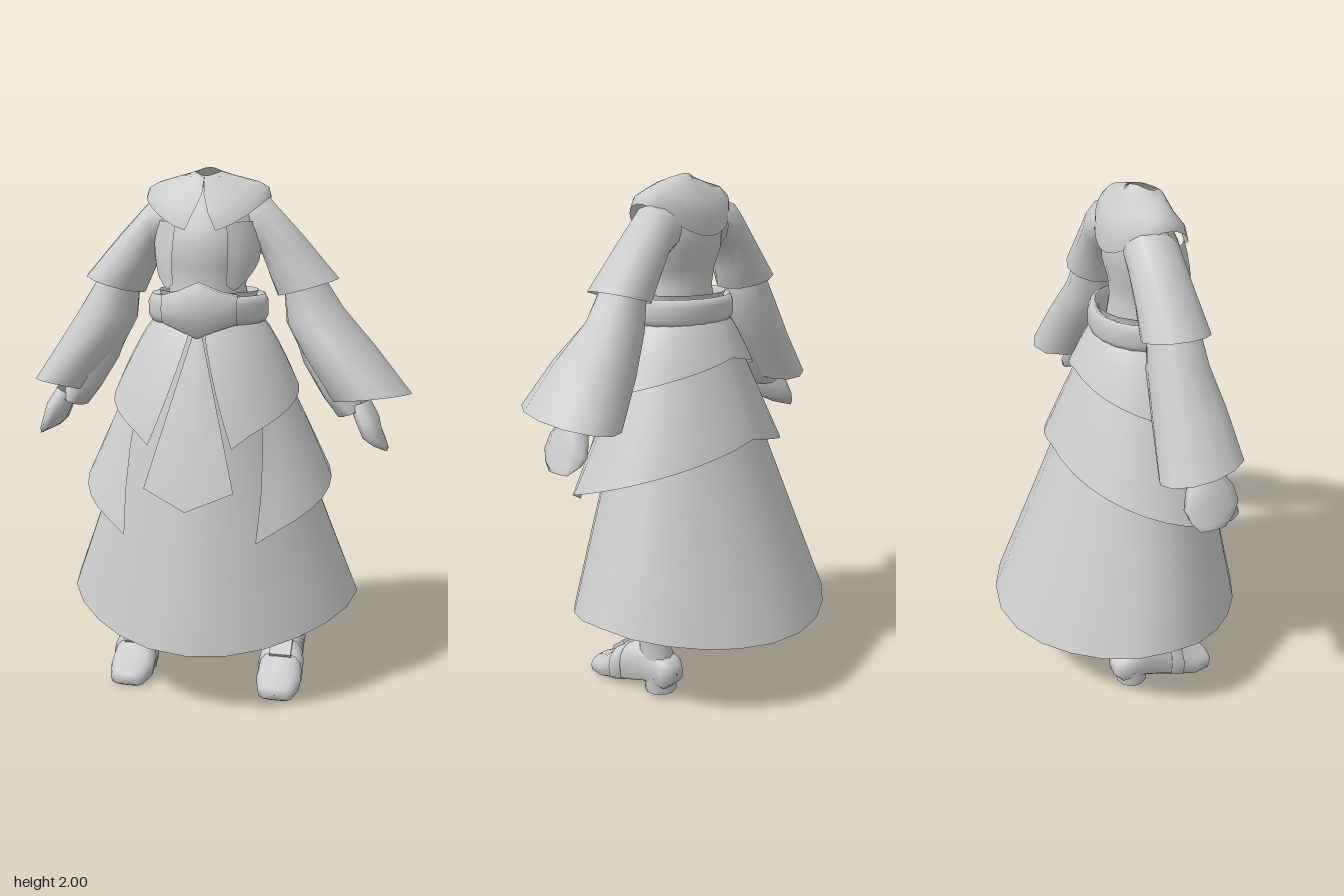
import * as THREE from 'three';
import { mergeVertices } from 'three/addons/utils/BufferGeometryUtils.js';

const MAT = new THREE.MeshStandardMaterial({ color: 0xcccccc, side: THREE.DoubleSide });
const DEG = Math.PI / 180;
const lerp = (a, b, t) => a + (b - a) * t;

// Smooth grid surface from f(u, v) -> [x, y, z]
function sheet(name, nu, nv, f, flip = false) {
  const pos = [], idx = [];
  for (let j = 0; j <= nv; j++)
    for (let i = 0; i <= nu; i++) pos.push(...f(i / nu, j / nv));
  for (let j = 0; j < nv; j++)
    for (let i = 0; i < nu; i++) {
      const a = j * (nu + 1) + i, b = a + 1, c = a + nu + 1, d = c + 1;
      if (flip) idx.push(a, b, c, b, d, c);
      else idx.push(a, c, b, b, c, d);
    }
  let g = new THREE.BufferGeometry();
  g.setAttribute('position', new THREE.Float32BufferAttribute(pos, 3));
  g.setIndex(idx);
  g = mergeVertices(g, 1e-4);
  g.computeVertexNormals();
  const m = new THREE.Mesh(g, MAT);
  m.name = name;
  return m;
}

// Horizontal ellipses [y, rx, rz, cz] stacked from top to bottom
function stack(name, rings, n = 20) {
  return sheet(name, n, rings.length - 1, (u, v) => {
    const [y, rx, rz, cz] = rings[Math.round(v * (rings.length - 1))];
    const a = u * 2 * Math.PI;
    return [rx * Math.sin(a), y, cz + rz * Math.cos(a)];
  });
}

// Limb rings [outerX, outerY, innerX, innerY, rz, cz, front lift], mirrored by s
function limb(name, rings, s, n = 12) {
  return sheet(name, n, rings.length - 1, (u, v) => {
    const [ox, oy, ix, iy, rz, cz, lift = 0] = rings[Math.round(v * (rings.length - 1))];
    const a = u * 2 * Math.PI, k = (1 + Math.cos(a)) / 2;
    return [s * lerp(ix, ox, k), lerp(iy, oy, k) + lift * Math.sin(a), cz + rz * Math.sin(a)];
  }, s < 0);
}

// Open-fronted flared layer: top and hem ellipses, opening angles, hem height by angle
function flare(name, o) {
  return sheet(name, 28, 5, (u, v) => {
    const open = lerp(o.open[0], o.open[1], v);
    const a = lerp(open, 360 - open, u);
    const back = 1 - Math.abs(2 * u - 1);
    const r = (k) => lerp(o.top[k], o.hem[k], Math.pow(v, o.bulge));
    return [r(0) * Math.sin(a * DEG), lerp(o.topY, o.hemY(back), v), r(2) + r(1) * Math.cos(a * DEG)];
  });
}

// Foot sections along z: [z, half width, bottom, top], flattened underneath
function footLoft(name, sec) {
  return sheet(name, 14, sec.length - 1, (u, v) => {
    const [z, w, b, t] = sec[Math.round(v * (sec.length - 1))];
    const a = u * 2 * Math.PI, c = Math.cos(a), q = Math.sin(a);
    const h = Math.sign(q) * Math.pow(Math.abs(q), q < 0 ? 0.45 : 0.9);
    return [w * Math.sign(c) * Math.pow(Math.abs(c), 0.75), lerp(b, t, 0.5 + 0.5 * h), z];
  }, true);
}

function shoe(s) {
  const g = new THREE.Group();
  g.name = 'shoe';
  g.add(footLoft('foot', [[-0.131, 0.001, 0.1, 0.11], [-0.128, 0.04, 0.07, 0.14], [-0.1, 0.065, 0.045, 0.165],
    [0, 0.07, 0.045, 0.21], [0.07, 0.074, 0.025, 0.2], [0.15, 0.085, 0.01, 0.145], [0.21, 0.088, 0, 0.095],
    [0.28, 0.068, 0, 0.065], [0.296, 0.045, 0.01, 0.052], [0.297, 0.001, 0.03, 0.031]]));
  g.add(footLoft('strap', [[0.105, 0.077, 0.022, 0.165], [0.105, 0.085, 0.016, 0.186], [0.155, 0.091, 0.006, 0.152], [0.155, 0.084, 0.012, 0.13]]));
  const heel = new THREE.Mesh(new THREE.CylinderGeometry(0.068, 0.062, 0.07, 10), MAT);
  heel.name = 'heel';
  heel.position.set(0, 0.053, -0.045);
  const buckle = new THREE.Mesh(new THREE.BoxGeometry(0.085, 0.07, 0.02), MAT);
  buckle.name = 'shoeBuckle';
  buckle.rotation.x = -0.9;
  buckle.position.set(0, 0.157, 0.143);
  g.add(heel, buckle);
  // boot shaft with cuff, then the leg
  g.add(stack('leg', [[0.78, 0.095, 0.095, 0], [0.6, 0.095, 0.095, 0], [0.48, 0.077, 0.08, -0.01], [0.47, 0.09, 0.098, -0.01],
    [0.36, 0.08, 0.09, -0.012], [0.27, 0.065, 0.072, -0.015], [0.2, 0.06, 0.067, -0.018], [0.12, 0.064, 0.08, -0.03]], 12));
  g.position.x = s * 0.297;
  return g;
}

export function createModel() {
  const root = new THREE.Group();
  const body = new THREE.Group();
  body.name = 'robe';
  body.position.x = -0.035;
  root.add(body);

  // Long skirt, hem raised at the sides and slightly flattened on the diagonals
  body.add(sheet('skirt', 24, 6, (u, v) => {
    const a = u * 2 * Math.PI, t = Math.pow(v, 1.08);
    const k = 1 - 0.045 * t * Math.sin(2 * a) ** 2, c = Math.cos(a);
    const hem = 0.368 - (c > 0 ? 0.108 : 0.075) * Math.pow(Math.abs(c), 1.3);
    return [k * lerp(0.18, 0.578, t) * Math.sin(a), lerp(1.47, hem, v), lerp(0.1, 0, t) + k * lerp(0.15, 0.503, t) * c];
  }));
  // Two open overlayers with pointed front corners
  body.add(flare('overskirt', { open: [60, 31], topY: 1.46, top: [0.19, 0.16, 0.1], hem: [0.475, 0.377, 0.117], bulge: 0.94,
    hemY: (b) => 0.69 + 0.33 * Math.pow(b, 0.8) }));
  body.add(flare('peplum', { open: [5, 26], topY: 1.47, top: [0.195, 0.17, 0.1], hem: [0.35, 0.31, 0.15], bulge: 0.84,
    hemY: (b) => 1.03 + 0.295 * Math.pow(b, 0.72) }));
  // Hanging front tail with a centre ridge
  body.add(sheet('frontTail', 2, 4, (u, v) => {
    const k = 2 * u - 1, e = Math.abs(k);
    return [k * lerp(0.015, 0.165, v), lerp(1.42, lerp(0.81, 0.875, e), v), lerp(0.29, 0.5 - 0.05 * e, v)];
  }));

  // Belt, waist rim and pointed buckle
  body.add(stack('waistRim', [[1.56, 0.188, 0.165, 0.1], [1.53, 0.175, 0.15, 0.1], [1.45, 0.18, 0.155, 0.1]]));
  body.add(stack('belt', [[1.535, 0.19, 0.16, 0.105], [1.548, 0.213, 0.185, 0.105], [1.52, 0.227, 0.195, 0.105],
    [1.47, 0.227, 0.195, 0.105], [1.446, 0.213, 0.185, 0.105], [1.455, 0.19, 0.16, 0.105]]));
  // buckle columns from edge to edge; rows: back top, top, middle, bottom, back bottom
  body.add(sheet('beltBuckle', 4, 4, (u, v) => {
    const k = 2 * u - 1, e = Math.abs(k), row = Math.round(v * 4);
    const top = [1.6, 1.57, 1.55][Math.round(e * 2)], bottom = [1.4, 1.428, 1.45][Math.round(e * 2)];
    const y = lerp(top, bottom, [0, 0, 0.5, 1, 1][row]);
    return [0.14 * k, y, [0.265, 0.303, 0.32, 0.303, 0.265][row] - 0.045 * e * e];
  }));

  // Torso
  body.add(stack('torso', [[1.93, 0.12, 0.065, 0.09], [1.87, 0.165, 0.1, 0.085], [1.8, 0.188, 0.13, 0.093], [1.72, 0.185, 0.143, 0.108],
    [1.65, 0.16, 0.128, 0.113], [1.58, 0.142, 0.125, 0.115], [1.45, 0.17, 0.14, 0.11]]));
  // Cape collar split at the front, with a diamond neck opening: [rx, rz, cz, y, drop, opening angle]
  const collar = [[0.05, 0.055, 0.11, 1.985, 0, 0], [0.1, 0.07, 0.1, 1.972, 0.006, 0], [0.185, 0.11, 0.085, 1.95, 0.045, 1],
    [0.222, 0.143, 0.093, 1.93, 0.09, 7], [0.232, 0.15, 0.1, 1.895, 0.122, 14]];
  body.add(sheet('collar', 32, 4, (u, v) => {
    const [rx, rz, cz, y, drop, open] = collar[Math.round(v * 4)];
    const a = lerp(open, 360 - open, u) * DEG, c = Math.cos(a), s = Math.sin(a);
    const k = v === 0 ? 1 / (Math.abs(c) + Math.abs(s)) : 1;
    return [k * rx * s, y - drop * c * c - (v === 0 ? 0.015 * c : 0), cz + k * rz * c];
  }));

  for (const s of [1, -1]) {
    // Vest panel, pointed at the bottom and fuller at the front
    body.add(sheet('vestPanel', 6, 4, (u, v) => {
      const a = lerp(30, 82, u) * DEG;
      const hem = 1.565 + 0.1 * Math.abs(1.3 * u - 0.25);
      const r = 1 + 0.1 * Math.sin(v * Math.PI * 0.8);
      return [s * lerp(0.185, 0.185, v) * r * Math.sin(a), lerp(1.81, hem, v), 0.1 + lerp(0.145, 0.17, v) * r * Math.cos(a)];
    }, s < 0));

    // Arm: upper sleeve, wide lower sleeve cut short inside, puffed forearm and mitten-like hand
    const arm = new THREE.Group();
    arm.name = s > 0 ? 'leftArm' : 'rightArm';
    arm.add(limb('upperSleeve', [[0.13, 1.89, 0.14, 1.72, 0.085, 0.06], [0.22, 1.892, 0.198, 1.685, 0.1, 0.06],
      [0.35, 1.755, 0.225, 1.61, 0.108, 0.066], [0.482, 1.605, 0.255, 1.54, 0.122, 0.073]], s));
    const wide = s > 0 ? 0.205 : 0.153, tip = s > 0 ? 0.762 : 0.695;
    arm.add(limb('lowerSleeve', [[0.42, 1.62, 0.28, 1.56, 0.095, 0.07], [0.5, 1.5, 0.29, 1.44, 0.11, 0.07],
      [lerp(0.42, tip, 0.6), 1.36, 0.36, 1.31, lerp(0.1, wide, 0.6), 0.08, 0.015], [tip, 1.19, 0.465, 1.15, wide, 0.083, 0.03]], s));
    arm.add(limb('forearm', [[0.44, 1.52, 0.3, 1.46, 0.07, 0.08], [0.52, 1.35, 0.36, 1.29, 0.08, 0.09],
      [0.57, 1.2, 0.435, 1.17, 0.08, 0.1], [0.58, 1.13, 0.49, 1.1, 0.075, 0.1], [0.6, 1.14, 0.54, 1.12, 0.055, 0.1]], s, 10));
    arm.add(limb('hand', [[0.61, 1.17, 0.535, 1.14, 0.055, 0.1], [0.645, 1.11, 0.56, 1.08, 0.09, 0.107],
      [0.66, 1.05, 0.585, 1.03, 0.105, 0.107], [0.68, 1.0, 0.61, 1.01, 0.085, 0.1], [0.683, 0.978, 0.67, 0.982, 0.05, 0.09],
      [0.68, 0.979, 0.679, 0.979, 0.001, 0.09]], s, 10));
    body.add(arm);
    body.add(shoe(s));
  }
  return root;
}
